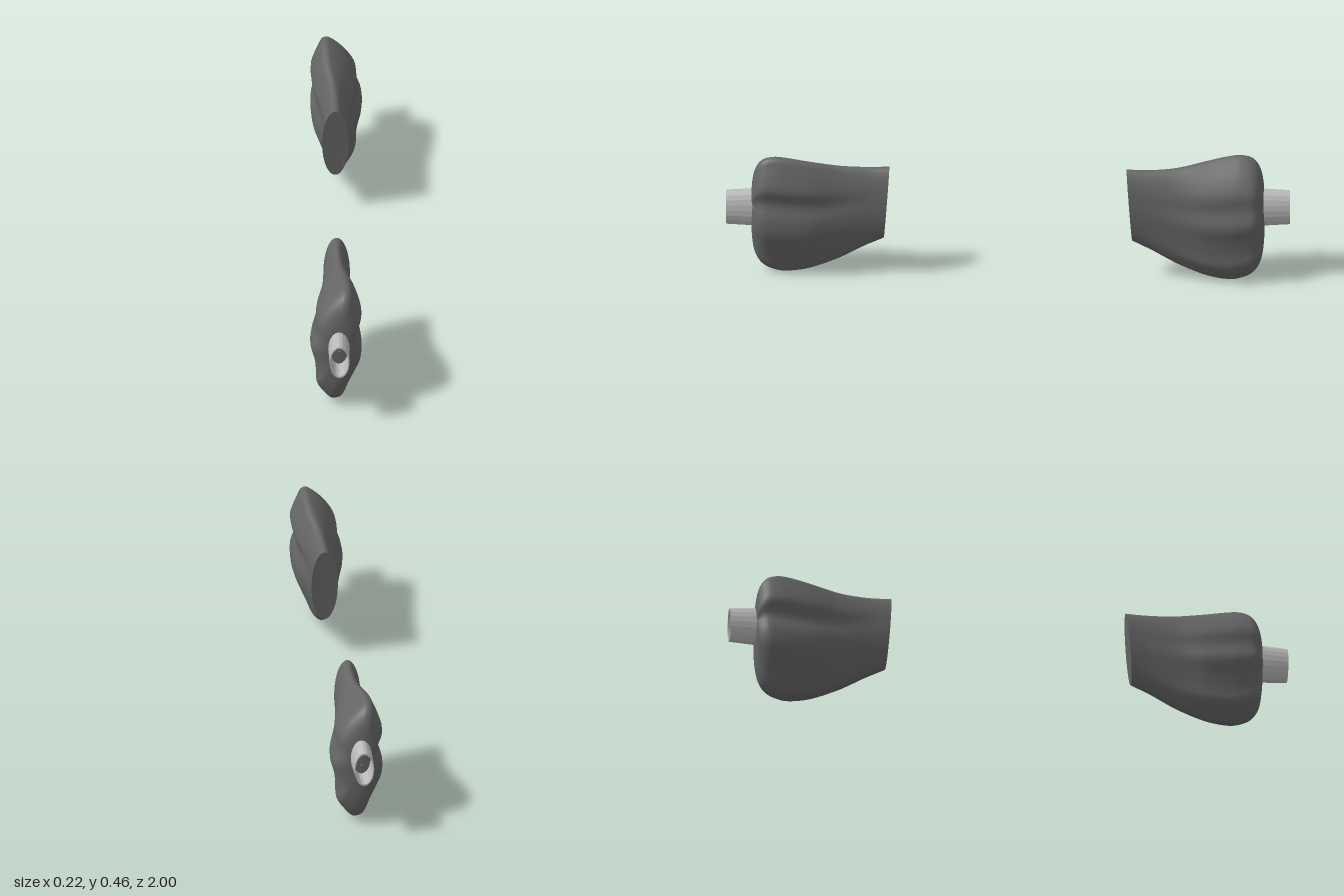
import * as THREE from 'three';

const SIDES = 96, STEPS = 8;

// Lumpy cross-section: x at every 15 degrees, clockwise from the crest
const LUMPS = [
  0.015, 0.032, 0.043, 0.058, 0.07, 0.055, 0.07, 0.067, 0.045, 0.024, 0.01, -0.005,
  -0.03, -0.045, -0.065, -0.088, -0.09, -0.097, -0.11, -0.092, -0.088, -0.062, -0.03, -0.002,
];

// Stations along the body: z, top, bottom, centre x, half width, lumpiness
const STATIONS = [
  [0.42, 0.42, 0.145, -0.008, 0.047, 0],
  [0.5, 0.418, 0.11, -0.012, 0.048, 0.2],
  [0.6, 0.425, 0.06, -0.015, 0.06, 0.5],
  [0.7, 0.445, 0.02, -0.018, 0.082, 0.85],
  [0.78, 0.462, 0.006, -0.02, 0.09, 1],
  [0.83, 0.467, 0.013, -0.02, 0.09, 1],
  [0.87, 0.455, 0.035, -0.02, 0.085, 1],
  [0.895, 0.42, 0.075, -0.018, 0.066, 1],
  [0.907, 0.36, 0.14, -0.012, 0.04, 0.8],
  [0.911, 0.255, 0.25, -0.01, 0.001, 0.5],
];

// Catmull-Rom value between b and c
function spline(a, b, c, d, t) {
  const m0 = (c - a) / 2, m1 = (d - b) / 2;
  return b + t * (m0 + t * (3 * (c - b) - 2 * m0 - m1 + t * (2 * (b - c) + m0 + m1)));
}

function lumpAt(u) {
  const n = LUMPS.length, i = Math.floor(u * n);
  const p = (k) => LUMPS[(i + k + n) % n];
  return spline(p(-1), p(0), p(1), p(2), u * n - i);
}

function stationAt(s) {
  const last = STATIONS.length - 1, i = Math.min(Math.floor(s), last - 1);
  const p = (k) => STATIONS[Math.max(0, Math.min(last, i + k))];
  return p(0).map((_, k) => spline(p(-1)[k], p(0)[k], p(1)[k], p(2)[k], s - i));
}

// Lofted fleshy body with a flat cut at its inner end
function bodyGeometry() {
  const pos = [], index = [];
  const rings = (STATIONS.length - 1) * STEPS;
  const addRing = (s) => {
    const [z, top, bottom, cx, rx, lump] = stationAt(s);
    const slant = 0.02 * Math.max(0, 1 - s / 2);
    for (let j = 0; j < SIDES; j++) {
      const a = (j / SIDES) * Math.PI * 2, v = Math.cos(a);
      const x = THREE.MathUtils.lerp(Math.sin(a), (lumpAt(j / SIDES) + 0.02) / 0.09, lump);
      pos.push(cx + rx * x, (top + bottom) / 2 + ((top - bottom) / 2) * v, z + slant * (1 - v) / 2);
    }
  };
  for (let i = 0; i <= rings; i++) addRing(i / STEPS);
  for (let i = 0; i < rings; i++) {
    for (let j = 0; j < SIDES; j++) {
      const k = (j + 1) % SIDES;
      const a = i * SIDES + j, b = i * SIDES + k, c = a + SIDES, d = b + SIDES;
      index.push(a, c, b, b, c, d);
    }
  }
  // cut face with its own vertices, so that its edge stays sharp
  const start = pos.length / 3;
  addRing(0);
  const centre = pos.length / 3;
  pos.push(-0.008, 0.2825, 0.432);
  for (let j = 0; j < SIDES; j++) index.push(centre, start + j, start + ((j + 1) % SIDES));

  const geo = new THREE.BufferGeometry();
  geo.setAttribute('position', new THREE.Float32BufferAttribute(pos, 3));
  geo.setIndex(index);
  geo.computeVertexNormals();
  return geo;
}

// Hollow oval stub, slightly narrower at the open tip
function stubGeometry() {
  const profile = [[0.88, 0.87], [1, 0.87], [1.04, 0.9], [0.95, 1], [0.86, 1], [0.88, 0.87]];
  const geo = new THREE.LatheGeometry(profile.map(([r, z]) => new THREE.Vector2(r, z)), 20);
  geo.rotateX(Math.PI / 2);
  geo.scale(0.037, 0.068, 1);
  return geo;
}

export function createModel() {
  const flesh = new THREE.MeshStandardMaterial({ color: 0x656565 });
  flesh.name = 'dark grey';
  const bone = new THREE.MeshStandardMaterial({ color: 0xbababa, side: THREE.DoubleSide, flatShading: true });
  bone.name = 'light grey';

  const model = new THREE.Group();
  model.name = 'pairOfMuscles';
  const body = bodyGeometry(), stub = stubGeometry();

  // Two pieces facing away from each other
  [['front', 0, 0.26], ['back', Math.PI, 0.278]].forEach(([side, turn, stubY]) => {
    const half = new THREE.Group();
    half.name = side + 'Half';
    const bodyMesh = new THREE.Mesh(body, flesh);
    bodyMesh.name = side + 'Body';
    const stubMesh = new THREE.Mesh(stub, bone);
    stubMesh.name = side + 'Stub';
    stubMesh.position.set(-0.011, stubY, 0);
    half.add(bodyMesh, stubMesh);
    half.rotation.y = turn;
    model.add(half);
  });
  return model;
}
